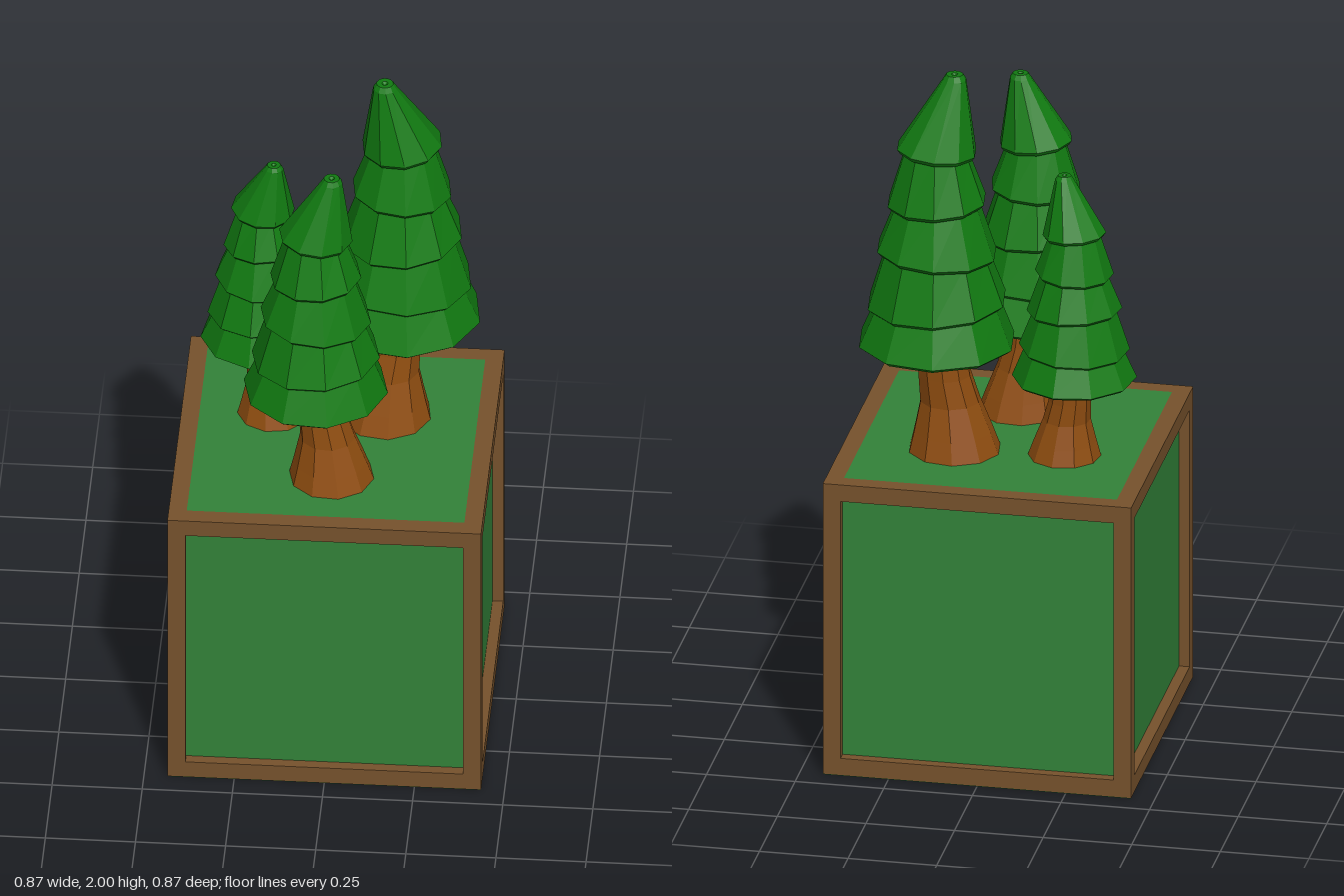
import * as THREE from 'three';

const mat = (color) => new THREE.MeshStandardMaterial({ color, flatShading: true, roughness: 0.9 });
const GROUND = 0.875, HALF = 0.435, BORDER = 0.05, INSET = 0.03;

// Ten-sided skin through rings [x, y, z, radius, tiltX, tiltZ], listed from the underside to the tip
function loft(rings, phase, sides = 10) {
  const pos = [], idx = [];
  rings.forEach(([x, y, z, r, tx = 0, tz = 0], i) => {
    for (let j = 0; j < sides; j++) {
      const a = phase + (j / sides) * Math.PI * 2;
      const dx = Math.cos(a) * r, dz = Math.sin(a) * r;
      pos.push(x + dx, y + dx * tx + dz * tz, z + dz);
      if (i) {
        const k = (j + 1) % sides, lo = (i - 1) * sides, hi = i * sides;
        idx.push(lo + j, hi + j, lo + k, lo + k, hi + j, hi + k);
      }
    }
  });
  const g = new THREE.BufferGeometry();
  g.setAttribute('position', new THREE.Float32BufferAttribute(pos, 3));
  g.setIndex(idx);
  g.computeVertexNormals();
  return g;
}

// Square border with a square hole, lying in the xy plane
function border(half, height, depth) {
  const s = new THREE.Shape();
  s.moveTo(-half, 0).lineTo(half, 0).lineTo(half, height).lineTo(-half, height).closePath();
  const h = new THREE.Path(), i = half - BORDER;
  h.moveTo(-i, BORDER).lineTo(-i, height - BORDER).lineTo(i, height - BORDER).lineTo(i, BORDER).closePath();
  s.holes.push(h);
  return new THREE.ExtrudeGeometry(s, { depth, bevelEnabled: false });
}

function add(parent, name, geometry, material) {
  const m = new THREE.Mesh(geometry, material);
  m.name = name;
  parent.add(m);
  return m;
}

// Tiers: height above ground, radius, tilt towards the lean
const TIERS = [
  [0.32, 0.222, 0], [0.44, 0.197, -0.05], [0.59, 0.17, 0.06], [0.74, 0.14, -0.05], [0.893, 0.113, 0.09],
];

function createTree({ x, z, size, width, leanX, leanZ, phase }, bark, leaf) {
  const tree = new THREE.Group();
  tree.name = 'tree';
  tree.position.set(x, GROUND, z);
  const len = Math.hypot(leanX, leanZ), ux = leanX / len, uz = leanZ / len;
  const ring = (lean, y, r, tilt = 0) =>
    [leanX * lean, y * size, leanZ * lean, r * width, ux * tilt, uz * tilt];

  // Flared, bending trunk reaching into the foliage
  add(tree, 'trunk', loft([
    ring(0, 0, 0), ring(0, 0, 0.13), ring(0.08, 0.06, 0.112), ring(0.25, 0.15, 0.085),
    ring(0.55, 0.23, 0.075), ring(0.75, 0.33, 0.07), ring(1, 0.5, 0.055), ring(1, 0.5, 0),
  ], phase), bark);

  // Hollow underside, then overlapping tiers with turned-in lips
  const rings = [ring(1, 0.43, 0), ring(1, 0.42, 0.13)];
  TIERS.forEach(([y, r, tilt], i) => {
    rings.push(ring(1, y, r * 0.93, tilt), ring(1, y + 0.012, r, tilt));
    const next = TIERS[i + 1];
    if (next) rings.push(ring(1, next[0] + 0.015, next[1] - 0.025, next[2]));
  });
  rings.push(ring(0, 1.11, 0.033), ring(0, 1.125, 0.024), ring(0, 1.125, 0.009), ring(0, 1.115, 0));
  add(tree, 'foliage', loft(rings, phase), leaf);
  return tree;
}

export function createModel() {
  const model = new THREE.Group();
  model.name = 'treesOnCube';
  const wood = mat(0x76522c), panel = mat(0x328239), bark = mat(0x8f4d10), leaf = mat(0x117a11);

  // Framed cube
  const cube = new THREE.Group();
  cube.name = 'cube';
  model.add(cube);
  const core = add(cube, 'sidePanels', new THREE.BoxGeometry(0.81, GROUND - INSET - 0.01, 0.81), panel);
  core.position.y = (GROUND + INSET - 0.01) / 2;
  const inner = (HALF - BORDER) * 2;
  const top = add(cube, 'topPanel', new THREE.BoxGeometry(inner, 0.04, inner), panel);
  top.position.y = GROUND - 0.02;
  for (let i = 0; i < 4; i++) {
    const g = border(HALF, GROUND - 0.002, INSET).translate(0, 0.002, HALF - INSET);
    add(cube, 'sideFrame', g.rotateY(i * Math.PI / 2), wood);
  }
  const flat = (half, y) => border(half, half * 2, INSET).translate(0, -half, 0).rotateX(-Math.PI / 2).translate(0, y, 0);
  add(cube, 'topFrame', flat(HALF, GROUND - INSET), wood);
  add(cube, 'bottomFrame', flat(HALF - 0.001, 0), panel);

  // Three leaning conifers
  const deg = Math.PI / 180;
  [
    { x: 0.127, z: -0.117, size: 1, width: 1, leanX: 0.046, leanZ: -0.024, phase: 10 * deg },
    { x: 0.002, z: 0.186, size: 0.9, width: 0.91, leanX: -0.044, leanZ: -0.002, phase: 5 * deg },
    { x: -0.18, z: -0.102, size: 0.747, width: 0.78, leanX: -0.032, leanZ: -0.02, phase: -9 * deg },
  ].forEach((t) => model.add(createTree(t, bark, leaf)));
  return model;
}
